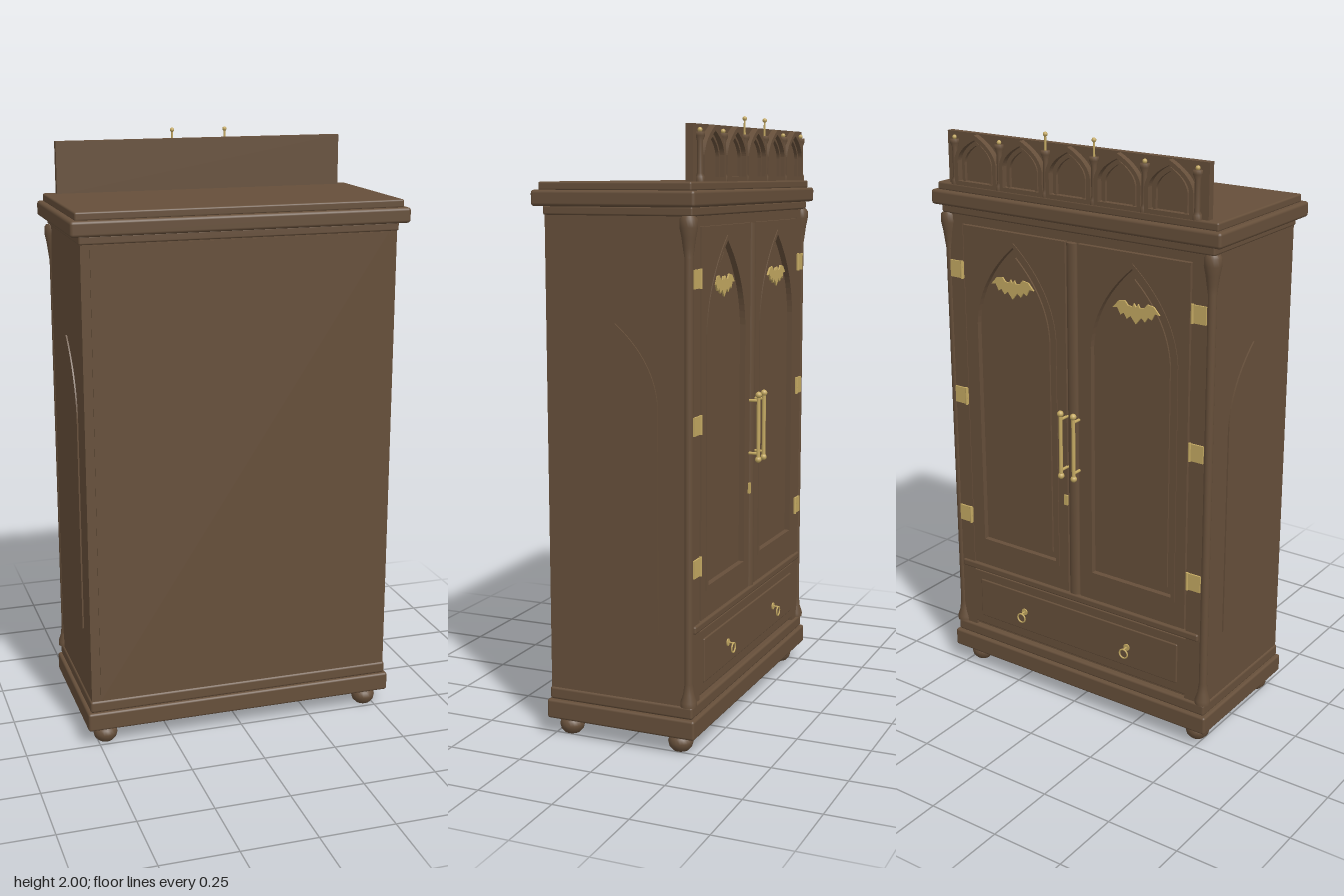
import * as THREE from 'three';
import { RoundedBoxGeometry } from 'three/addons/geometries/RoundedBoxGeometry.js';

const wood = new THREE.MeshStandardMaterial({ color: 0x664f3a });
wood.name = 'walnut wood';
const brass = new THREE.MeshStandardMaterial({ color: 0xc4a962 });
brass.name = 'brass';

export function createModel() {
  const model = new THREE.Group();
  model.name = 'wardrobe';
  // Doors are modelled toward +z, then the cabinet is turned to face -z.
  const cabinet = new THREE.Group();
  cabinet.name = 'cabinet';
  cabinet.rotation.y = Math.PI;
  model.add(cabinet);

  const add = (name, geo, mat, x = 0, y = 0, z = 0, parent = cabinet) => {
    const m = new THREE.Mesh(geo, mat);
    m.name = name;
    m.position.set(x, y, z);
    parent.add(m);
    return m;
  };
  // Boxes given by their limits; r rounds the edges
  const box = (name, x0, x1, y0, y1, z0, z1, mat = wood, r = 0) => {
    const s = [x1 - x0, y1 - y0, z1 - z0];
    const geo = r ? new RoundedBoxGeometry(...s, 2, r) : new THREE.BoxGeometry(...s);
    return add(name, geo, mat, (x0 + x1) / 2, (y0 + y1) / 2, (z0 + z1) / 2);
  };
  const lathe = (pts, n = 20) =>
    new THREE.LatheGeometry(pts.map(([r, y]) => new THREE.Vector2(r, y)), n);
  const extrude = (shape, depth) =>
    new THREE.ExtrudeGeometry(shape, { depth, bevelEnabled: false, curveSegments: 14 });
  // Pointed arch outline, used for panels, holes and mouldings
  const arch = (w, y0, ys, yt, C = THREE.Shape) => {
    const s = new C();
    const k = ys + (yt - ys) * 0.55;
    s.moveTo(-w, y0);
    s.lineTo(w, y0);
    s.lineTo(w, ys);
    s.quadraticCurveTo(w * 0.93, k, 0, yt);
    s.quadraticCurveTo(-w * 0.93, k, -w, ys);
    s.lineTo(-w, y0);
    return s;
  };
  const archRing = (w, y0, ys, yt, t) => {
    const s = arch(w, y0, ys, yt);
    s.holes.push(arch(w - t, y0 + t, ys, yt - t * 1.2, THREE.Path));
    return s;
  };

  // Carcass, plinth and cornice
  box('carcass', -0.525, 0.525, 0.12, 1.72, -0.253, 0.225);
  box('backPanel', -0.495, 0.495, 0.165, 1.69, -0.256, -0.25);
  box('plinth', -0.54, 0.54, 0.06, 0.124, -0.265, 0.256, wood, 0.008);
  box('plinthMoulding', -0.53, 0.53, 0.124, 0.165, -0.258, 0.246, wood, 0.008);
  box('corniceMoulding', -0.53, 0.53, 1.693, 1.722, -0.258, 0.246, wood, 0.006);
  box('cornice', -0.56, 0.56, 1.72, 1.77, -0.285, 0.265, wood, 0.01);
  box('topBoard', -0.542, 0.542, 1.768, 1.795, -0.266, 0.248, wood, 0.006);

  // Bun feet
  const footGeo = lathe([[0, 0], [0.026, 0], [0.037, 0.012], [0.041, 0.028],
    [0.037, 0.043], [0.026, 0.052], [0.026, 0.064]]);
  for (const x of [-0.472, 0.472]) {
    for (const z of [-0.207, 0.183]) add('foot', footGeo, wood, x, 0, z);
  }

  // Face frame
  for (const s of [-1, 1]) {
    box('stile', s * 0.48 - 0.03, s * 0.48 + 0.03, 0.165, 1.694, 0.22, 0.238);
  }
  box('topRail', -0.46, 0.46, 1.665, 1.694, 0.22, 0.238);
  box('drawerRail', -0.5, 0.5, 0.395, 0.42, 0.22, 0.246, wood, 0.006);

  // Corner columns with flared capital and foot
  const columnGeo = lathe([[0.026, 0.165], [0.026, 0.18], [0.018, 0.205], [0.014, 0.24],
    [0.014, 1.57], [0.018, 1.6], [0.022, 1.63], [0.028, 1.66], [0.028, 1.685], [0.02, 1.695]]);
  for (const s of [-1, 1]) add('cornerColumn', columnGeo, wood, s * 0.515, 0, 0.228);

  // Pointed raised panels on the sides
  for (const s of [-1, 1]) {
    const p = add('sidePanel', extrude(arch(0.142, 0.39, 1.12, 1.365), 0.006), wood, s * 0.524, 0, -0.0125);
    p.rotation.y = s * Math.PI / 2;
  }

  // Bat-shaped ornament outline, mirrored from one wing
  const wing = [[0, 0.018], [0.008, 0.03], [0.014, 0.018], [0.03, 0.02], [0.042, 0.034],
    [0.066, 0.03], [0.088, 0.006], [0.07, 0.008], [0.058, -0.014], [0.046, -0.006],
    [0.034, -0.024], [0.02, -0.012], [0, -0.036]];
  const batShape = new THREE.Shape([...wing, ...wing.slice(1, -1).reverse().map(([x, y]) => [-x, y])]
    .map(([x, y]) => new THREE.Vector2(x, y)));
  const batGeo = extrude(batShape, 0.006);

  // Doors: framed pointed recess, moulding, ornament, hinges and handle
  const barGeo = new THREE.CylinderGeometry(0.0065, 0.0065, 0.21, 12);
  const knobGeo = new THREE.SphereGeometry(0.011, 14, 10);
  const postGeo = new THREE.CylinderGeometry(0.005, 0.005, 0.04, 10).rotateX(Math.PI / 2);
  for (const s of [-1, 1]) {
    const door = new THREE.Group();
    door.name = 'door';
    door.position.x = s * 0.235;
    cabinet.add(door);
    const frame = new THREE.Shape();
    frame.moveTo(-0.21, 0.425);
    frame.lineTo(0.21, 0.425);
    frame.lineTo(0.21, 1.66);
    frame.lineTo(-0.21, 1.66);
    frame.closePath();
    frame.holes.push(arch(0.165, 0.52, 1.33, 1.62, THREE.Path));
    add('doorFrame', extrude(frame, 0.017), wood, 0, 0, 0.224, door);
    add('doorMoulding', extrude(archRing(0.172, 0.513, 1.33, 1.628, 0.014), 0.02), wood, 0, 0, 0.224, door);
    add('doorPanel', extrude(arch(0.135, 0.55, 1.32, 1.575), 0.007), wood, 0, 0, 0.224, door);
    add('batOrnament', batGeo, brass, s * 0.01, 1.47, 0.231, door);

    for (const y of [0.605, 1.055, 1.505]) {
      box('hinge', s * 0.477 - 0.027, s * 0.477 + 0.027, y - 0.029, y + 0.029, 0.236, 0.244, brass);
      add('hingePin', new THREE.CylinderGeometry(0.005, 0.005, 0.062, 10), brass, s * 0.455, y, 0.243);
    }
    add('handleBar', barGeo, brass, s * 0.026, 0.98, 0.274);
    for (const y of [0.87, 1.09]) add('handleKnob', knobGeo, brass, s * 0.026, y, 0.274);
    for (const y of [0.89, 1.07]) add('handlePost', postGeo, brass, s * 0.026, y, 0.254);
  }
  const meetingStile = add('meetingStile', new THREE.CylinderGeometry(0.02, 0.02, 1.235, 16), wood, 0, 1.042, 0.236);
  meetingStile.scale.z = 0.6;
  box('keyPlate', -0.036, -0.022, 0.752, 0.788, 0.24, 0.247, brass);

  // Drawer with raised panel and ring pulls
  box('drawerFront', -0.485, 0.485, 0.178, 0.39, 0.22, 0.238, wood, 0.004);
  box('drawerPanel', -0.42, 0.42, 0.212, 0.358, 0.23, 0.243, wood, 0.004);
  for (const x of [-0.22, 0.22]) {
    const plate = add('pullPlate', new THREE.CylinderGeometry(0.012, 0.012, 0.006, 16), brass, x, 0.286, 0.244);
    plate.rotation.x = Math.PI / 2;
    add('pullPost', new THREE.CylinderGeometry(0.003, 0.003, 0.022, 8).rotateX(Math.PI / 2), brass, x, 0.286, 0.255);
    add('pullRing', new THREE.TorusGeometry(0.016, 0.0028, 8, 20), brass, x, 0.27, 0.264);
  }

  // Crest: board, arcade of arches, colonnettes and finials
  box('crestBoard', -0.5, 0.5, 1.79, 1.966, 0.211, 0.235);
  const pitch = 0.186;
  for (let i = -2; i <= 2; i++) {
    const x = i * pitch;
    add('crestArch', extrude(archRing(0.086, 1.795, 1.875, 1.964, 0.014), 0.022), wood, x, 0, 0.234);
    add('crestInnerArch', extrude(archRing(0.06, 1.795, 1.87, 1.94, 0.009), 0.012), wood, x, 0, 0.234);
  }
  const colonnetteGeo = lathe([[0.015, 1.795], [0.015, 1.81], [0.009, 1.82], [0.009, 1.915],
    [0.015, 1.93], [0.015, 1.942], [0, 1.942]], 14);
  for (let i = 0; i < 6; i++) {
    const x = (i - 2.5) * pitch;
    const tall = i === 2 || i === 3;
    add('colonnette', colonnetteGeo, wood, x, 0, 0.243);
    if (tall) add('finialStem', new THREE.CylinderGeometry(0.003, 0.004, 0.055, 8), brass, x, 1.966, 0.243);
    add('finialBall', new THREE.SphereGeometry(0.0075, 12, 8), brass, x, tall ? 1.9925 : 1.948, 0.243);
  }

  return model;
}
